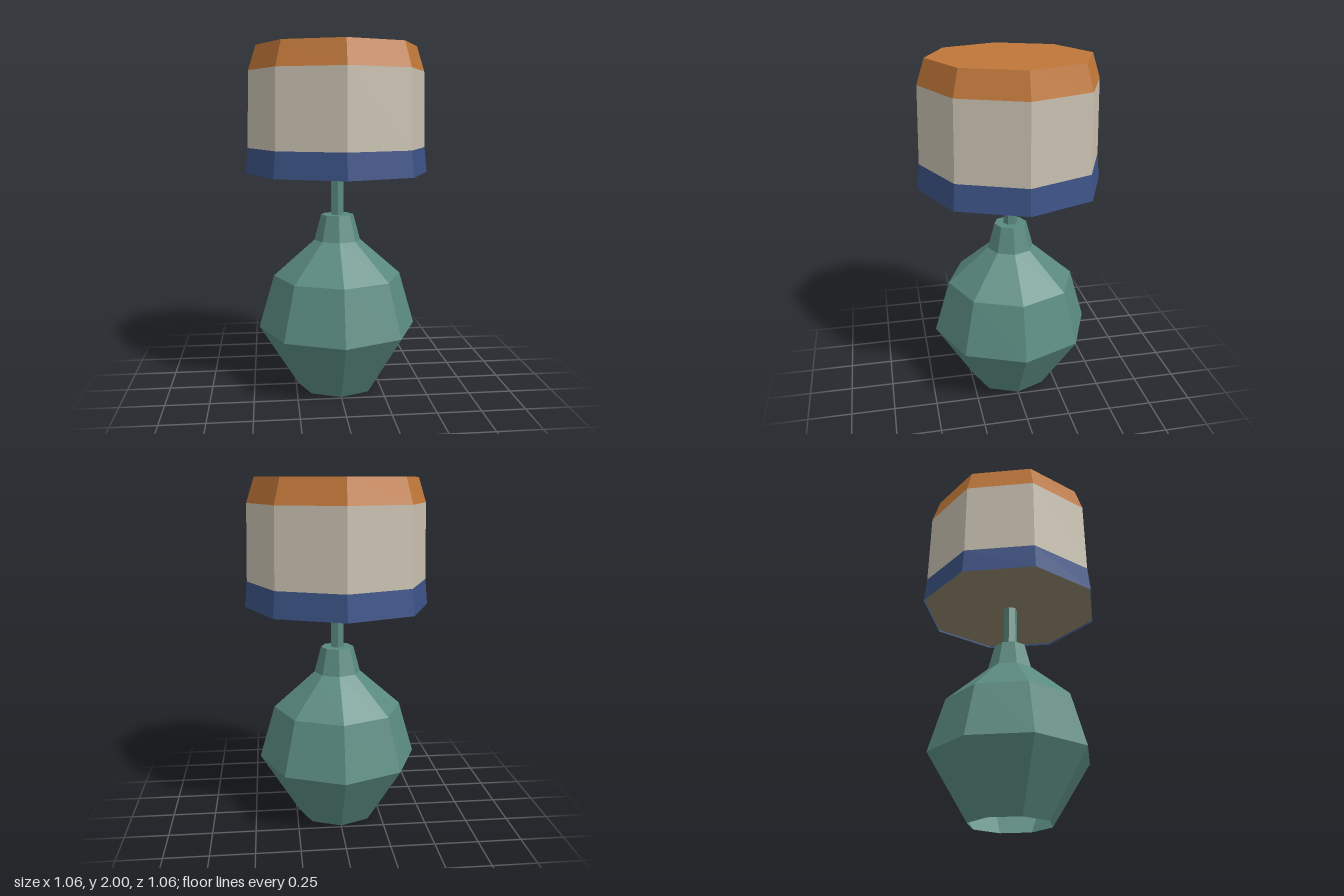
import * as THREE from 'three';

const SIDES = 8;

function makeMaterial(color) {
  return new THREE.MeshStandardMaterial({ color, flatShading: true, side: THREE.DoubleSide });
}

// Faceted surface of revolution from [radius, height] pairs, bottom to top
function turned(name, profile, material, sides = SIDES) {
  const points = profile.map(([r, y]) => new THREE.Vector2(r, y));
  const mesh = new THREE.Mesh(new THREE.LatheGeometry(points, sides), material);
  mesh.name = name;
  return mesh;
}

// Flat polygon whose corners line up with the turned parts
function disc(name, radius, y, material, facing = 1) {
  const geometry = new THREE.CircleGeometry(radius, SIDES).rotateX(-facing * Math.PI / 2);
  const mesh = new THREE.Mesh(geometry, material);
  mesh.name = name;
  mesh.position.y = y;
  return mesh;
}

export function createModel() {
  const teal = makeMaterial(0x5a8a80);
  const blue = makeMaterial(0x3c5286);
  const cream = makeMaterial(0xc8c0b0);
  const orange = makeMaterial(0xbe7638);
  const lining = makeMaterial(0x8e8468);

  // Hollow vase-shaped base, open underneath, closed at the neck
  const base = new THREE.Group();
  base.name = 'base';
  base.add(
    turned('baseBody', [[0.235, 0], [0.465, 0.365], [0.375, 0.675], [0.135, 0.885], [0.095, 1.035]], teal),
    disc('neckCap', 0.095, 1.035, teal),
  );

  // Slim six-sided stem
  const stem = new THREE.Mesh(new THREE.CylinderGeometry(0.04, 0.04, 0.26, 6), teal);
  stem.name = 'stem';
  stem.position.y = 1.16;

  // Three-banded shade with a closed top and a lining set just inside the rim
  const shade = new THREE.Group();
  shade.name = 'shade';
  shade.add(
    turned('lowerBand', [[0.53, 1.28], [0.515, 1.425]], blue),
    turned('middleBand', [[0.515, 1.425], [0.505, 1.86]], cream),
    turned('upperBand', [[0.505, 1.86], [0.46, 2]], orange),
    disc('shadeTop', 0.46, 2, orange),
    disc('shadeLining', 0.526, 1.29, lining, -1),
  );

  const lamp = new THREE.Group();
  lamp.name = 'tableLamp';
  lamp.add(base, stem, shade);
  return lamp;
}
